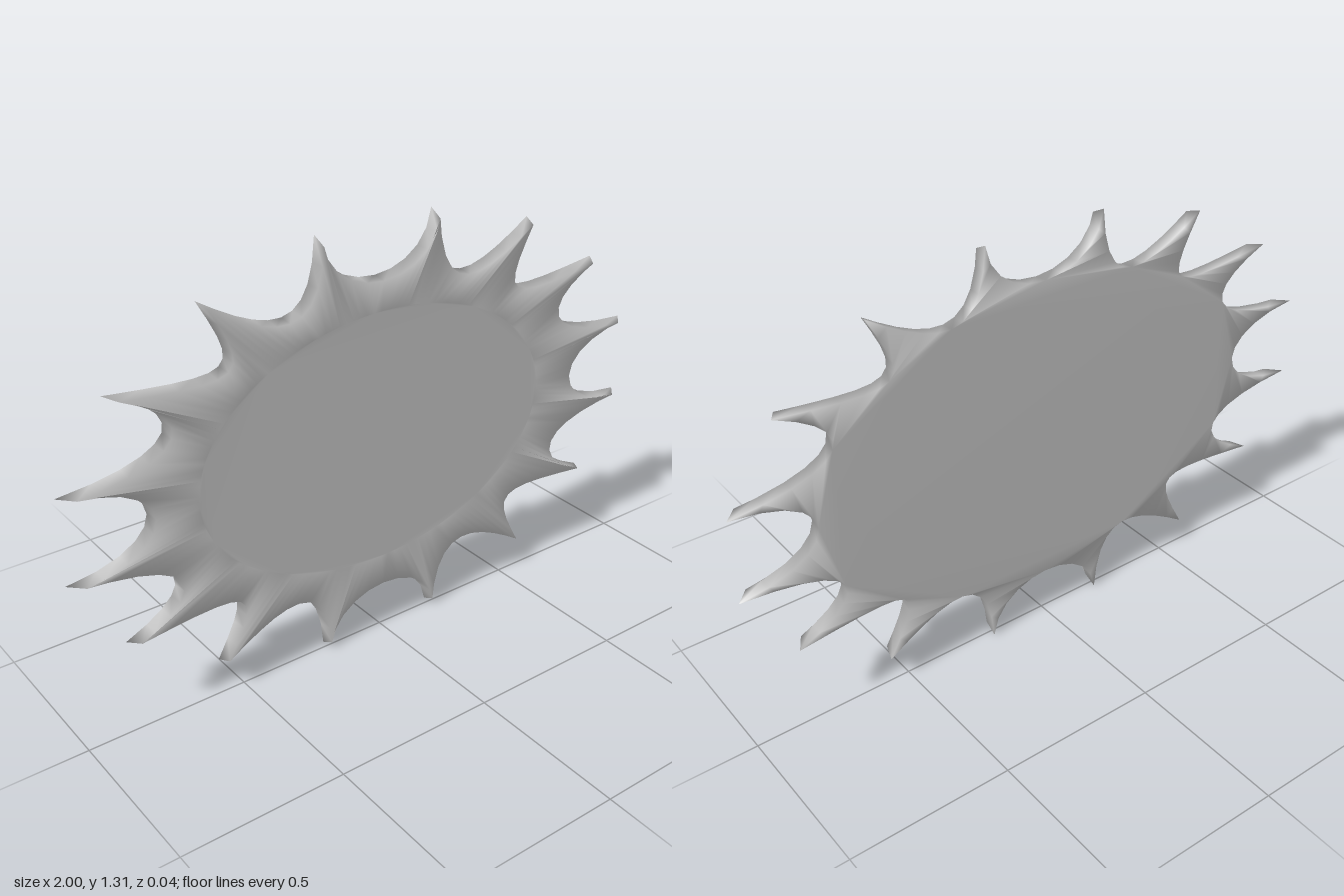
import * as THREE from 'three';

const CY = 0.655;      // height of the centre
const HALF = 0.022;    // half thickness
const STEPS = 10;      // points per scallop
const INSET = 0.0045;  // bevel of the front edge

const tip = (deg) => {
  const a = THREE.MathUtils.degToRad(deg);
  return [1.02 * Math.cos(a), 0.667 * Math.sin(a)];
};

// Scallops of one quadrant, counter-clockwise: start tip, two handles, end tip
const side = [tip(-11.25), [0.67, -0.11], [0.67, 0.11], tip(11.25)];
const top = [tip(78.75), [0.175, 0.445], [-0.175, 0.445], tip(101.25)];
const between = [
  [tip(11.25), [0.624, 0.15], [0.60, 0.27], tip(33.75)],
  [tip(33.75), [0.448, 0.32], [0.44, 0.33], tip(56.25)],
  [tip(56.25), [0.36, 0.42], [0.215, 0.37], tip(78.75)],
];

function starOutline() {
  const flip = (list, sx, sy) => list.map((c) => c.map(([x, y]) => [x * sx, y * sy]));
  const mirrored = (list, sx, sy) => flip(list, sx, sy).reverse().map((c) => c.reverse());
  const curves = [
    side, ...between, top, ...mirrored(between, -1, 1),
    ...flip([side], -1, -1), ...flip(between, -1, -1),
    ...flip([top], -1, -1), ...mirrored(between, 1, -1),
  ];
  const pts = [];
  for (const c of curves) {
    const v = c.map(([x, y]) => new THREE.Vector2(x, y));
    pts.push(...new THREE.CubicBezierCurve(...v).getPoints(STEPS).slice(0, STEPS));
  }
  return pts;
}

// Mitred inward offset of a counter-clockwise outline
function insetOutline(pts, d) {
  const n = pts.length;
  const normal = (a, b) => new THREE.Vector2(a.y - b.y, b.x - a.x).normalize();
  return pts.map((p, i) => {
    const n1 = normal(pts[(i + n - 1) % n], p);
    const n2 = normal(p, pts[(i + 1) % n]);
    const k = d / Math.max(0.004, 1 + n1.dot(n2));
    return p.clone().addScaledVector(n1.add(n2), k);
  });
}

export function createModel() {
  const back = starOutline();
  const n = back.length;
  const front = insetOutline(back, INSET);
  // Edge of the shallow dish in the front face
  const dish = back.map((_, i) => {
    const [x, y] = tip(-11.25 + (360 * i) / n);
    return new THREE.Vector2(0.6 * x, 0.6 * y);
  });

  const positions = [];
  const index = [];
  const rings = [[back, -HALF], [front, HALF], [dish, HALF - 0.01]];
  for (const [ring, z] of rings) for (const p of ring) positions.push(p.x, p.y, z);

  // Bevelled rim, then the slope into the dish
  for (let r = 0; r < 2; r++) {
    for (let i = 0; i < n; i++) {
      const a = r * n + i;
      const b = r * n + ((i + 1) % n);
      index.push(a, b, b + n, a, b + n, a + n);
    }
  }
  // Flat back and dish floor
  for (const [a, b, c] of THREE.ShapeUtils.triangulateShape(back, [])) index.push(a, c, b);
  for (const [a, b, c] of THREE.ShapeUtils.triangulateShape(dish, [])) {
    index.push(a + 2 * n, b + 2 * n, c + 2 * n);
  }

  const geometry = new THREE.BufferGeometry();
  geometry.setAttribute('position', new THREE.Float32BufferAttribute(positions, 3));
  geometry.setIndex(index);
  geometry.computeVertexNormals();

  const plate = new THREE.Mesh(geometry, new THREE.MeshStandardMaterial({ color: 0xcccccc }));
  plate.name = 'starburstPlate';
  plate.position.y = CY;

  const group = new THREE.Group();
  group.name = 'starburst';
  group.add(plate);
  return group;
}
